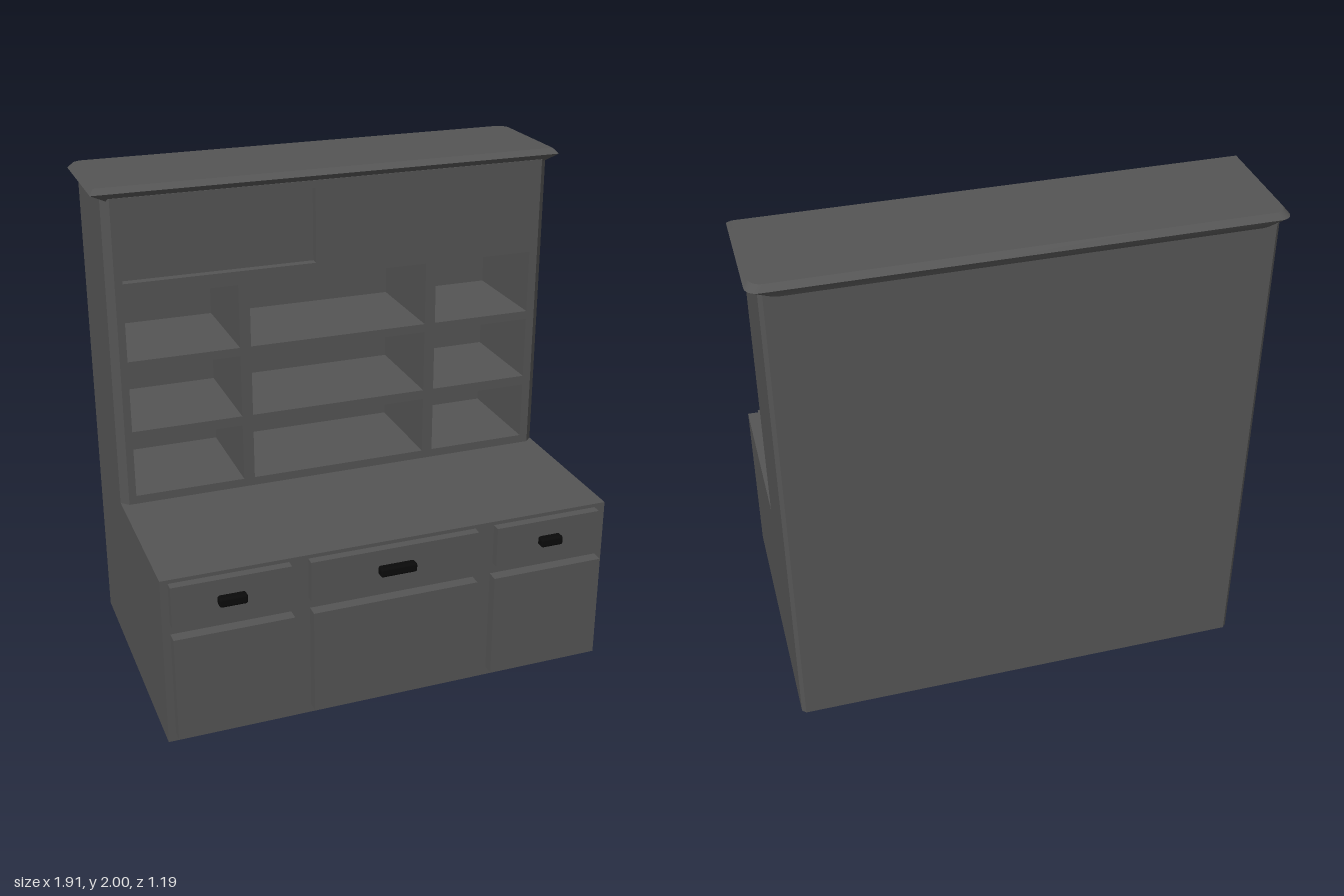
import * as THREE from 'three';
import { toCreasedNormals } from 'three/addons/utils/BufferGeometryUtils.js';
import { RoundedBoxGeometry } from 'three/addons/geometries/RoundedBoxGeometry.js';

const wood = new THREE.MeshStandardMaterial({ color: 0x555555 });
const black = new THREE.MeshStandardMaterial({ color: 0x0a0a0a });

function add(group, name, geometry, material = wood) {
  const mesh = new THREE.Mesh(geometry, material);
  mesh.name = name;
  group.add(mesh);
  return mesh;
}

// Box given by its limits on each axis
function block(x0, x1, y0, y1, z0, z1) {
  return new THREE.BoxGeometry(x1 - x0, y1 - y0, z1 - z0)
    .translate((x0 + x1) / 2, (y0 + y1) / 2, (z0 + z1) / 2);
}

// Upright prism over a floor plan of [x, z] points
function prism(plan, y0, y1) {
  const shape = new THREE.Shape(plan.map(([x, z]) => new THREE.Vector2(x, -z)));
  return new THREE.ExtrudeGeometry(shape, { depth: y1 - y0, bevelEnabled: false })
    .rotateX(-Math.PI / 2).translate(0, y0, 0);
}

function rectPath(path, x0, x1, y0, y1) {
  path.moveTo(x0, y0);
  path.lineTo(x1, y0);
  path.lineTo(x1, y1);
  path.lineTo(x0, y1);
  path.closePath();
  return path;
}

// Cornice outline at one height: square front corners, rounded back corners
function corniceRing({ y, x, front, back }) {
  const r = 0.045, steps = 6;
  const ring = [[-x, y, front], [x, y, front]];
  for (const side of [1, -1]) {
    for (let i = 0; i <= steps; i++) {
      const t = (side > 0 ? i : steps - i) / steps * Math.PI / 2;
      ring.push([side * (x - r + r * Math.cos(t)), y, back + r - r * Math.sin(t)]);
    }
  }
  return ring;
}

function corniceGeometry() {
  const rings = [
    { y: 1.95, x: 0.895, front: -0.12, back: -0.58 },
    { y: 1.98, x: 0.955, front: -0.10, back: -0.595 },
    { y: 2.0, x: 0.938, front: -0.125, back: -0.573 },
  ].map(corniceRing);
  const n = rings[0].length;
  const index = [];
  for (let k = 0; k < rings.length - 1; k++) {
    for (let i = 0; i < n; i++) {
      const a = k * n + i, b = k * n + (i + 1) % n;
      index.push(a, b, b + n, a, b + n, a + n);
    }
  }
  const top = (rings.length - 1) * n;
  for (let i = 1; i < n - 1; i++) {
    index.push(0, i + 1, i, top, top + i, top + i + 1);
  }
  const geometry = new THREE.BufferGeometry();
  geometry.setAttribute('position', new THREE.Float32BufferAttribute(rings.flat(2), 3));
  geometry.setIndex(index);
  return toCreasedNormals(geometry, 0.5);
}

export function createModel() {
  const model = new THREE.Group();
  model.name = 'hutchCabinet';
  const W = 0.915, BACK = -0.58, COUNTER = 0.705;

  // Deep base cabinet with slightly cut back corners
  add(model, 'baseCabinet', prism([
    [-W, 0.525], [W, 0.525], [W, -0.565], [0.9, BACK], [-0.9, BACK], [-W, -0.565],
  ], 0, COUNTER));

  // Drawers with pulls, and doors below
  const drawers = [
    { x0: -0.885, x1: -0.42, pull: [-0.71, -0.6] },
    { x0: -0.345, x1: 0.345, pull: [-0.075, 0.075] },
    { x0: 0.425, x1: 0.87, pull: [0.605, 0.7] },
  ];
  for (const { x0, x1, pull } of drawers) {
    add(model, 'drawerFront', block(x0, x1, 0.52, 0.69, 0.515, 0.56));
    const handle = add(model, 'drawerPull',
      new RoundedBoxGeometry(pull[1] - pull[0], 0.038, 0.04, 3, 0.01), black);
    handle.position.set((pull[0] + pull[1]) / 2, 0.605, 0.573);
  }
  for (const [x0, x1] of [[-0.885, -0.415], [-0.34, 0.34], [0.415, 0.885]]) {
    add(model, 'door', block(x0, x1, 0.035, 0.475, 0.515, 0.572));
  }

  // Upper shelving: one thick frame pierced by nine niches and a panel opening
  const upper = new THREE.Group();
  upper.name = 'upperCabinet';
  model.add(upper);
  const frame = rectPath(new THREE.Shape(), -0.885, 0.885, COUNTER, 1.96);
  for (const [x0, x1] of [[-0.855, -0.405], [-0.36, 0.385], [0.43, 0.85]]) {
    for (const [y0, y1] of [[0.74, 0.98], [1.02, 1.28], [1.315, 1.575]]) {
      frame.holes.push(rectPath(new THREE.Path(), x0, x1, y0, y1));
    }
  }
  frame.holes.push(rectPath(new THREE.Path(), -0.855, -0.085, 1.63, 1.93));
  add(upper, 'shelfFrame',
    new THREE.ExtrudeGeometry(frame, { depth: 0.435, bevelEnabled: false }).translate(0, 0, -0.545));
  add(upper, 'recessedPanel', block(-0.855, -0.085, 1.63, 1.93, -0.545, -0.145));
  add(upper, 'backPanel', block(-0.885, 0.885, COUNTER, 1.96, BACK, -0.545));

  // Side panels with chamfered front and back edges
  for (const s of [1, -1]) {
    add(upper, s > 0 ? 'leftSide' : 'rightSide', prism([
      [s * 0.885, -0.11], [s * W, -0.14], [s * W, -0.565], [s * 0.9, BACK], [s * 0.885, BACK],
    ], COUNTER, 1.96));
  }

  add(model, 'cornice', corniceGeometry());
  return model;
}
